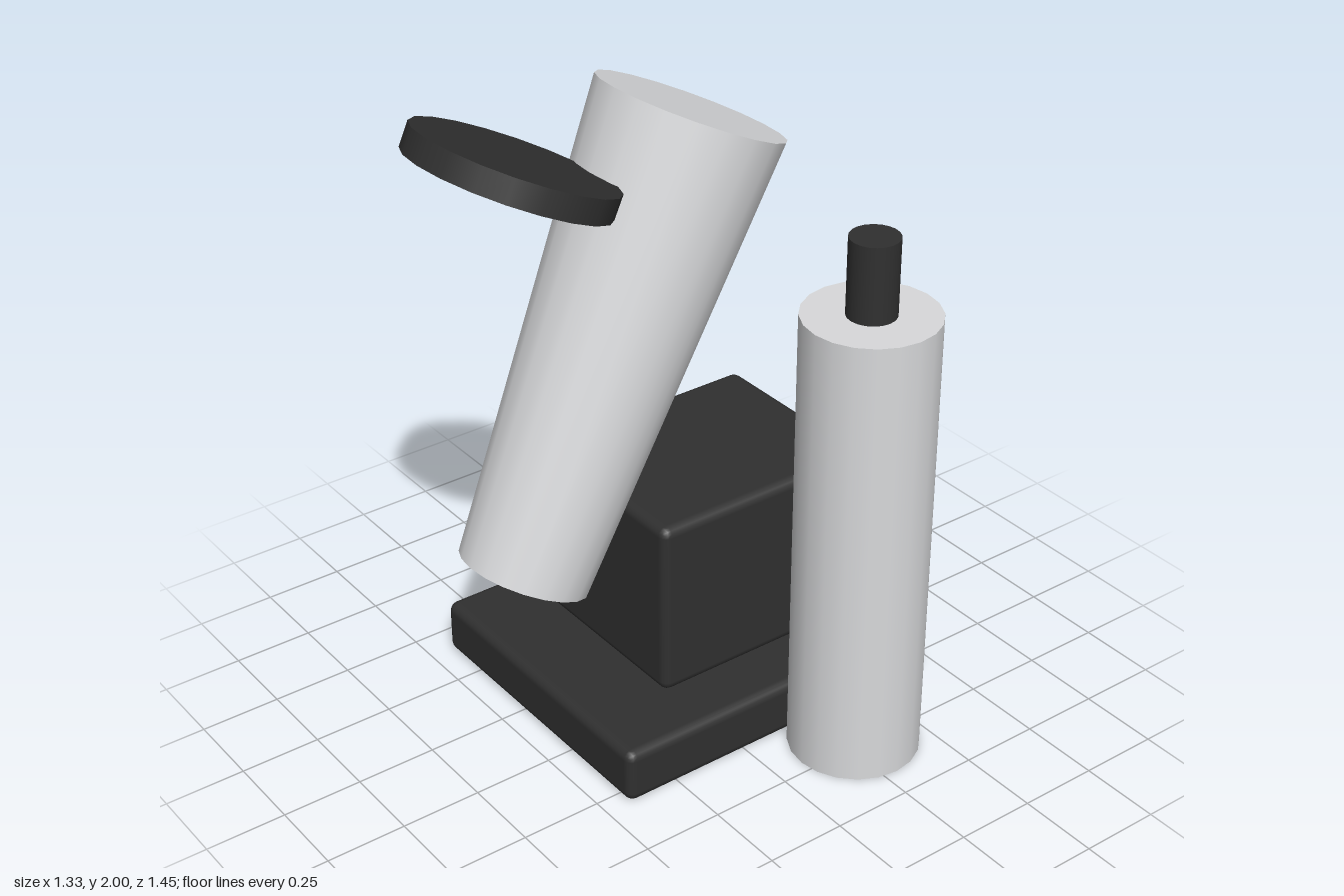
import * as THREE from 'three';
import { RoundedBoxGeometry } from 'three/addons/geometries/RoundedBoxGeometry.js';

const silver = new THREE.MeshStandardMaterial({ color: 0xd8d9db });
silver.name = 'silver';
const charcoal = new THREE.MeshStandardMaterial({ color: 0x303030 });
charcoal.name = 'charcoal';

const TILT = THREE.MathUtils.degToRad(-25);
const SIDES = 20;

export function createModel() {
  const model = new THREE.Group();
  model.name = 'tiltedCupMachine';

  const add = (name, geometry, material, x, y, z, tilt = 0) => {
    const mesh = new THREE.Mesh(geometry, material);
    mesh.name = name;
    mesh.position.set(x, y, z);
    mesh.rotation.x = tilt;
    model.add(mesh);
  };
  const box = (w, h, d) => new RoundedBoxGeometry(w, h, d, 2, 0.03);
  const drum = (top, bottom, h) => new THREE.CylinderGeometry(top, bottom, h, SIDES);

  // Base plate and the block standing on it
  add('basePlate', box(0.98, 0.175, 1.15), charcoal, -0.175, 0.0875, -0.147);
  add('motorBlock', box(0.63, 0.57, 0.75), charcoal, -0.175, 0.465, -0.203);

  // Tapered cup leaning back, with a disc parallel to its rim
  add('cup', drum(0.286, 0.2, 1.442), silver, -0.175, 1.216, 0.144, TILT);
  add('disc', drum(0.302, 0.302, 0.075), charcoal, -0.175, 1.84, 0.437, TILT);

  // Free-standing cylinder with its neck
  add('sideCylinder', drum(0.2, 0.2, 1.445), silver, 0.46, 0.7225, -0.295);
  add('neck', drum(0.073, 0.073, 0.235), charcoal, 0.46, 1.5625, -0.295);

  return model;
}
